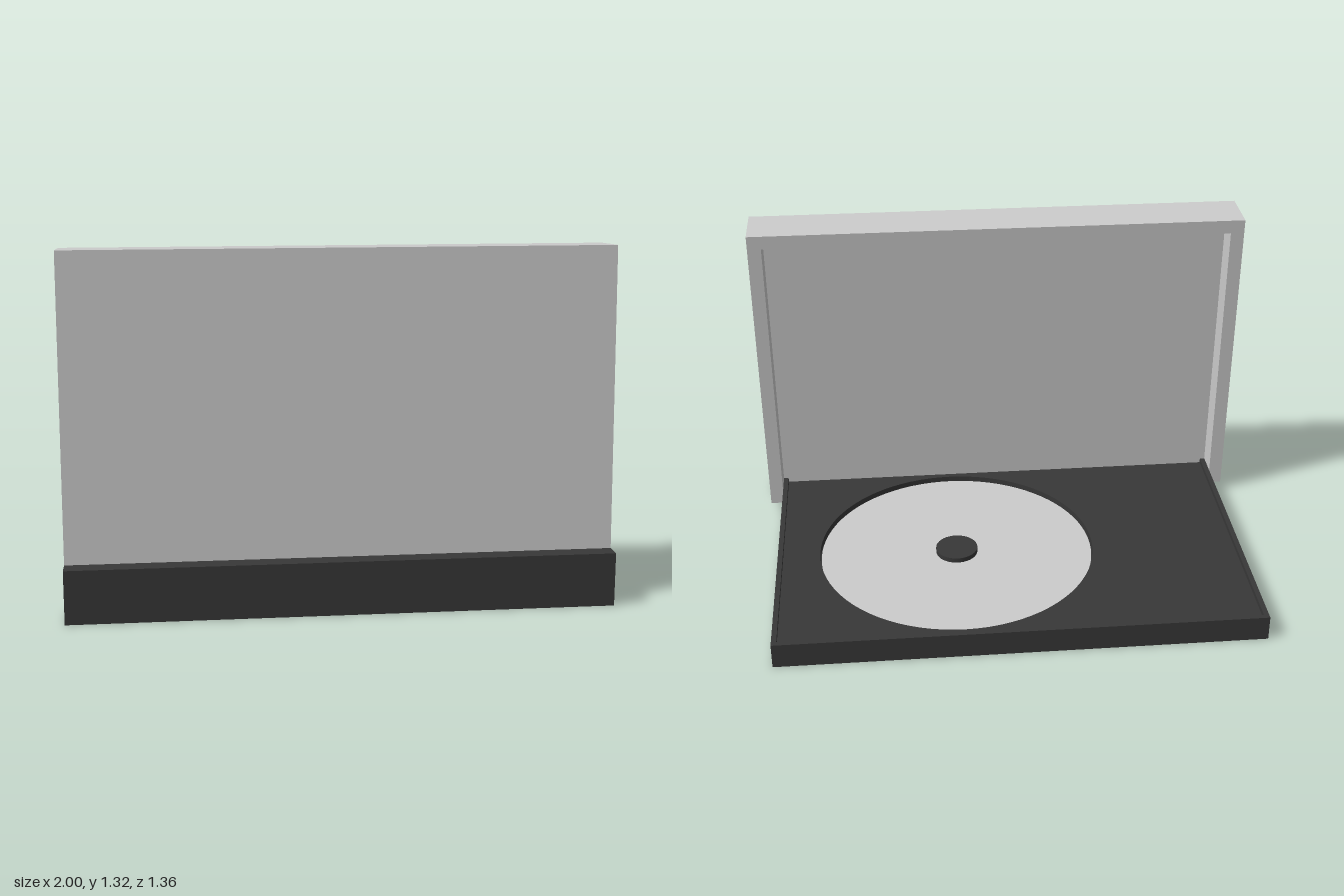
import * as THREE from 'three';

const grey = new THREE.MeshStandardMaterial({ color: 0xcccccc });
const dark = new THREE.MeshStandardMaterial({ color: 0x383838 });

// Box given by its min and max corners
function box(name, mat, [x0, y0, z0], [x1, y1, z1]) {
  const mesh = new THREE.Mesh(new THREE.BoxGeometry(x1 - x0, y1 - y0, z1 - z0), mat);
  mesh.position.set((x0 + x1) / 2, (y0 + y1) / 2, (z0 + z1) / 2);
  mesh.name = name;
  return mesh;
}

// Rectangular outline in plan; shape y is -z
function rect(Type, halfX, zBack, zFront) {
  return new Type([[-halfX, -zFront], [halfX, -zFront], [halfX, -zBack], [-halfX, -zBack]]
    .map(([x, y]) => new THREE.Vector2(x, y)));
}

// Plan outline with a hole, raised between two heights
function layer(name, mat, shape, hole, y0, y1) {
  shape.holes.push(hole);
  const geo = new THREE.ExtrudeGeometry(shape, { depth: y1 - y0, bevelEnabled: false, curveSegments: 40 });
  geo.rotateX(-Math.PI / 2).translate(0, y0, 0);
  const mesh = new THREE.Mesh(geo, mat);
  mesh.name = name;
  return mesh;
}

const circle = (Type, x, z, r) => new Type().absarc(x, -z, r, 0, Math.PI * 2);

export function createModel() {
  const model = new THREE.Group();
  const halfX = 0.945, back = -0.68, front = 0.55;
  const floorY = 0.05, trayY = 0.08, rimY = 0.1;
  const cx = 0.215, cz = -0.06;

  // Shallow base: floor, tray with a round well, raised rim
  const base = new THREE.Group();
  base.name = 'base';
  base.add(
    box('baseFloor', dark, [-halfX, 0, back], [halfX, floorY, front]),
    layer('tray', dark, rect(THREE.Shape, halfX, back, front),
      circle(THREE.Path, cx, cz, 0.56), floorY, trayY),
    layer('baseRim', dark, rect(THREE.Shape, halfX, back, front),
      rect(THREE.Path, halfX - 0.02, back + 0.02, front - 0.02), trayY, rimY),
    box('hingeBar', dark, [-1, 0, front], [1, 0.2, 0.68]),
  );

  // Disc resting in the well, held by the hub
  const disc = layer('disc', grey, circle(THREE.Shape, cx, cz, 0.555),
    circle(THREE.Path, cx, cz, 0.08), floorY, floorY + 0.01);
  const hub = new THREE.Mesh(new THREE.CylinderGeometry(0.085, 0.085, trayY - floorY, 40), dark);
  hub.position.set(cx, (floorY + trayY) / 2, cz);
  hub.name = 'hub';

  // Open lid: panel with side and top walls, leaning slightly back over the base
  const lid = new THREE.Group();
  lid.name = 'lid';
  const h = 1.272, wall = 0.055, depth = 0.2, inner = 0.105;
  lid.add(
    box('lidPanel', grey, [-1, 0, inner], [1, h, depth]),
    box('lidTopWall', grey, [-1 + wall, h - wall, 0], [1 - wall, h, inner]),
    box('lidLeftWall', grey, [1 - wall, 0, 0], [1, h, inner]),
    box('lidRightWall', grey, [-1, 0, 0], [-1 + wall, h, inner]),
  );
  lid.position.set(0, 0.037, 0.42);
  lid.rotation.x = -0.047;

  model.add(base, disc, hub, lid);
  return model;
}
